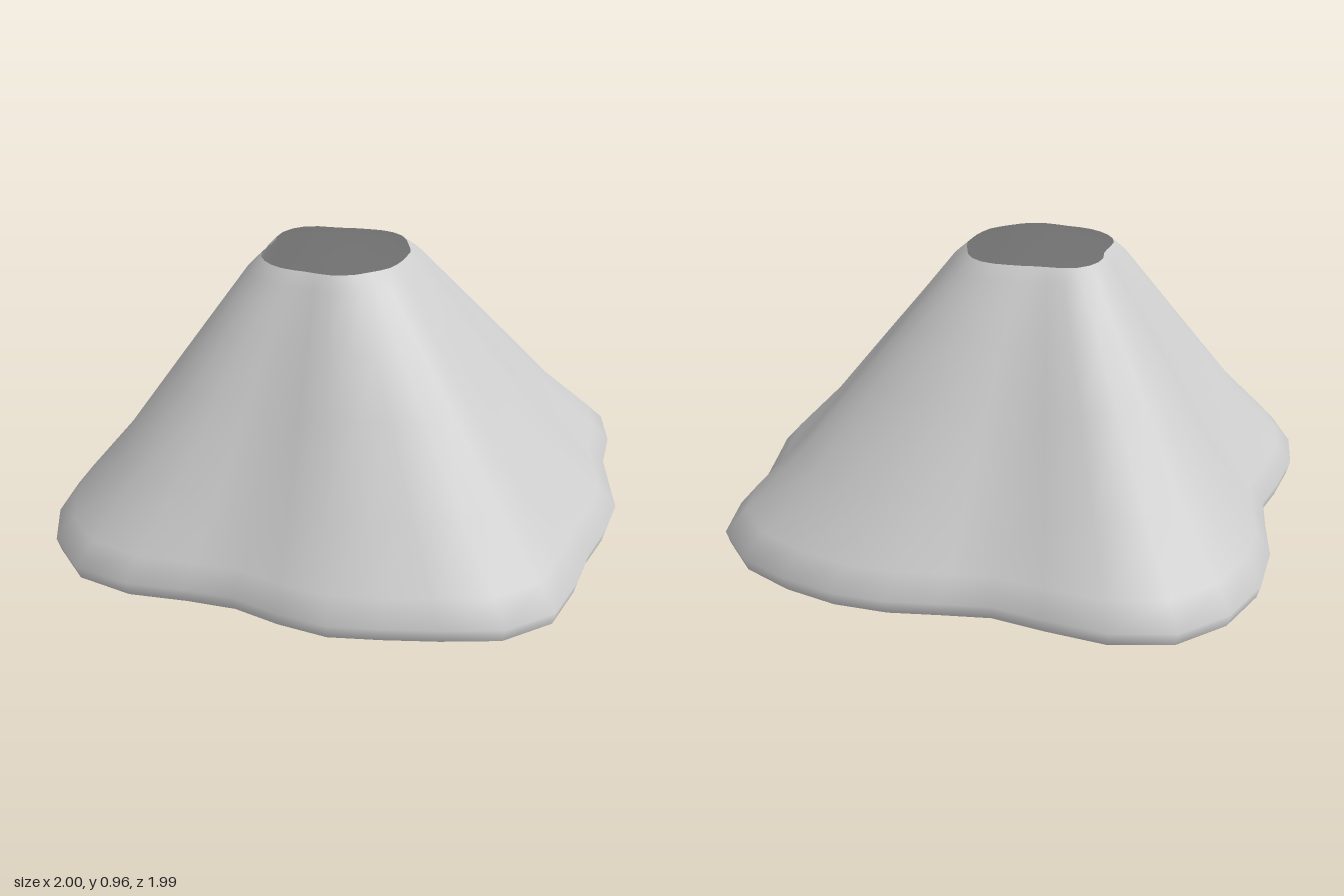
import * as THREE from 'three';

// Outline radii every 10 degrees, from +x turning towards +z
const BASE = [
  1.0, 0.996, 1.0, 1.06, 1.135, 1.13, 1.065, 1.025, 1.01, 0.97, 0.94, 0.985,
  1.085, 1.163, 1.165, 1.125, 1.063, 0.985, 0.93, 0.97, 1.055, 1.135, 1.185, 1.19,
  1.12, 1.015, 0.945, 0.96, 1.01, 1.062, 1.107, 1.15, 1.15, 1.07, 0.985, 0.977,
];
const RIM = [
  0.258, 0.259, 0.262, 0.267, 0.264, 0.263, 0.268, 0.269, 0.265, 0.256, 0.252, 0.26,
  0.269, 0.275, 0.277, 0.276, 0.269, 0.255, 0.247, 0.25, 0.272, 0.29, 0.3, 0.3,
  0.285, 0.265, 0.257, 0.26, 0.267, 0.28, 0.29, 0.29, 0.28, 0.268, 0.265, 0.264,
];
const RIM_X = -0.06, RIM_Z = 0.03;
const N = BASE.length;

// Cross-sections: height, blend from base to rim outline, scale
const RINGS = [
  [0, 0, 0.987], [0.05, 0, 1], [0.125, 0.085, 1], [0.31, 0.31, 1],
  [0.57, 0.575, 1], [0.75, 0.76, 1], [0.92, 0.935, 1], [0.965, 1, 1],
];

function ringPoints([y, t, scale]) {
  return BASE.map((r, i) => {
    const a = (i / N) * Math.PI * 2;
    const x = THREE.MathUtils.lerp(r * Math.cos(a), RIM_X + RIM[i] * Math.cos(a), t);
    const z = THREE.MathUtils.lerp(r * Math.sin(a), RIM_Z + RIM[i] * Math.sin(a), t);
    return [x * scale, y, z * scale];
  });
}

function makeGeometry(points, index) {
  const g = new THREE.BufferGeometry();
  g.setAttribute('position', new THREE.Float32BufferAttribute(points.flat(), 3));
  g.setIndex(index);
  g.computeVertexNormals();
  return g;
}

export function createModel() {
  const group = new THREE.Group();
  const stone = new THREE.MeshStandardMaterial({ color: 0xcccccc, side: THREE.DoubleSide });
  stone.name = 'grey stone';

  // Sloping wall, open at the top
  const index = [];
  for (let j = 0; j < RINGS.length - 1; j++) {
    for (let i = 0; i < N; i++) {
      const k = (i + 1) % N;
      const a = j * N + i, b = j * N + k, c = a + N, d = b + N;
      index.push(a, c, b, b, c, d);
    }
  }
  const slope = new THREE.Mesh(makeGeometry(RINGS.flatMap(ringPoints), index), stone);
  slope.name = 'slope';

  // Flat floor closing the bottom
  const fan = [];
  for (let i = 0; i < N; i++) fan.push(N, i, (i + 1) % N);
  const floor = new THREE.Mesh(makeGeometry([...ringPoints(RINGS[0]), [0, 0, 0]], fan), stone);
  floor.name = 'floor';

  group.add(slope, floor);
  return group;
}
